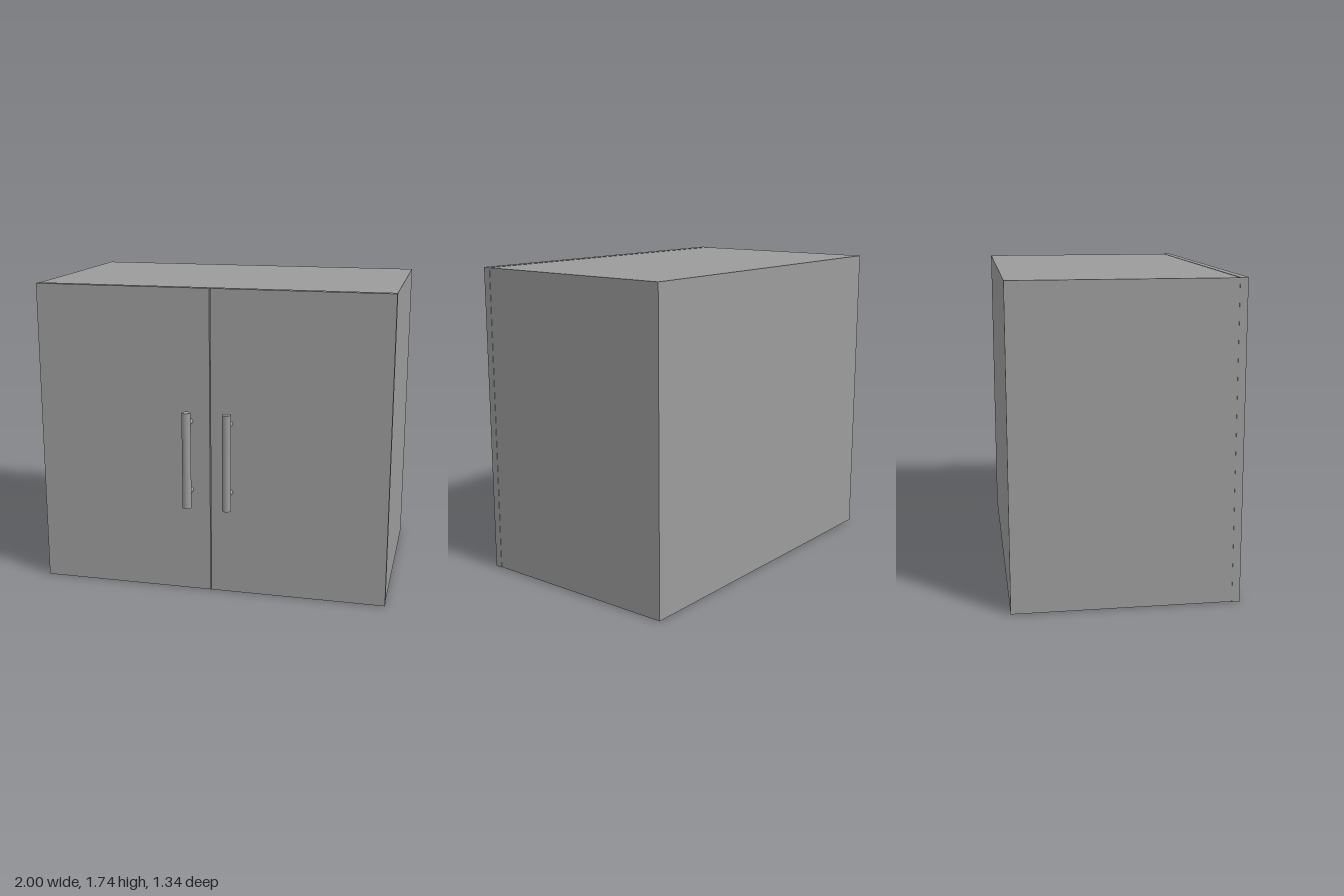
import * as THREE from 'three';

const material = new THREE.MeshStandardMaterial({ color: 0x9b9b9b });

const HEIGHT = 1.744;
const BACK = -0.672, DOOR_BACK = 0.517, DOOR_FRONT = 0.56;
const HANDLE_X = 0.114, HANDLE_Z = 0.647;

function addMesh(parent, name, geometry, x, y, z) {
  const mesh = new THREE.Mesh(geometry, material);
  mesh.name = name;
  mesh.position.set(x, y, z);
  parent.add(mesh);
  return mesh;
}

// Bar handle: upright round bar on two short posts
function createHandle(name, x) {
  const handle = new THREE.Group();
  handle.name = name;
  addMesh(handle, 'handleBar', new THREE.CylinderGeometry(0.025, 0.025, 0.55, 32), x, 0.796, HANDLE_Z);
  const length = HANDLE_Z - DOOR_FRONT + 0.005;
  for (const y of [0.602, 1.0]) {
    const post = addMesh(handle, 'handlePost', new THREE.CylinderGeometry(0.015, 0.015, length, 24),
      x, y, HANDLE_Z - length / 2);
    post.rotation.x = Math.PI / 2;
  }
  return handle;
}

export function createModel() {
  const cabinet = new THREE.Group();
  cabinet.name = 'cabinet';

  // Carcass, a hair smaller than the doors all round
  const inset = 0.002, depth = DOOR_BACK - BACK;
  addMesh(cabinet, 'carcass', new THREE.BoxGeometry(2 - 2 * inset, HEIGHT - 2 * inset, depth),
    0, HEIGHT / 2, BACK + depth / 2);

  // Pair of doors with a narrow gap between them, and their handles
  const gap = 0.005, doorWidth = 1 - gap / 2, thickness = DOOR_FRONT - DOOR_BACK;
  for (const [label, side] of [['left', 1], ['right', -1]]) {
    addMesh(cabinet, label + 'Door', new THREE.BoxGeometry(doorWidth, HEIGHT, thickness),
      side * (1 - doorWidth / 2), HEIGHT / 2, (DOOR_FRONT + DOOR_BACK) / 2);
    cabinet.add(createHandle(label + 'Handle', side * HANDLE_X));
  }
  return cabinet;
}
